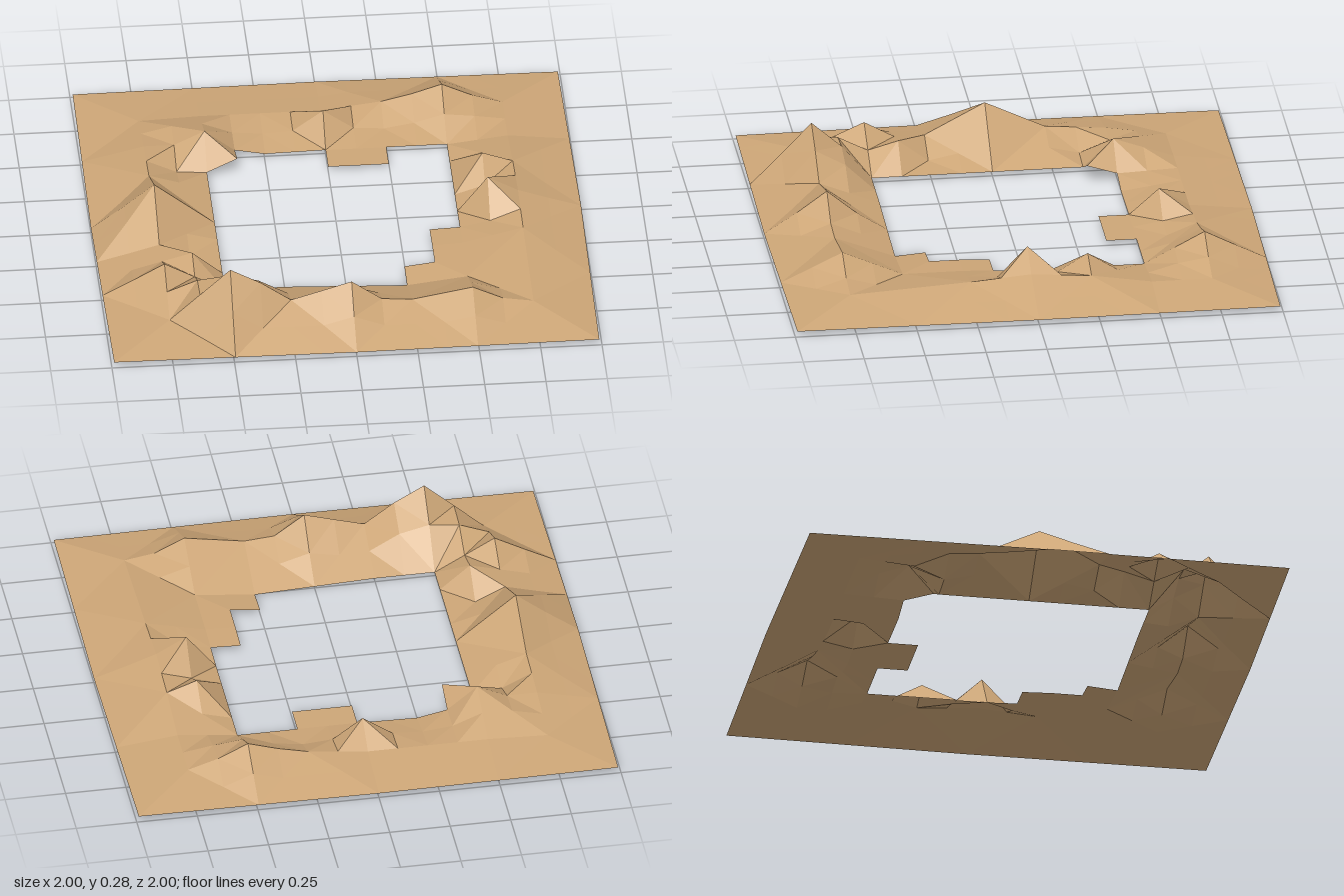
import * as THREE from 'three';

// Main ridge heights in hundredths: rows run back to front, columns left to right on x
const ROWS = [
  [2, 2, 2, 2, 2, 2, 2, 2, 2],
  [2, 4, 5, 5, 5, 8, 15, 5, 2],
  [2, 8, 14, 1.5, 2, 2, 2, 5, 2],
  [2, 10, 2, 2, 2, 2, 2, 9, 2],
  [2, 22, 2, 2, 2, 2, 2, 11, 2],
  [2, 9, 2, 2, 2, 2, 3, 9, 2],
  [2, 16, 2, 2, 1, 0, 3, 7.5, 2],
  [2, 5, 28, 12, 10, 9.5, 14, 6, 2],
  [2, 2, 2, 2, 2, 2, 2, 2, 2],
];

// Small crags and notches between the main ridge points: x, z, height in hundredths
const CRAGS = [
  [0, -0.625, 13], [-0.125, -0.625, 4], [0.125, -0.625, 4],
  [0.375, -0.75, 11], [0.25, -0.625, 3], [0.375, -0.625, 5], [0.625, -0.75, 9],
  [0.625, -0.625, 7],
  [-0.375, -0.5, 4], [-0.625, -0.5, 8], [-0.5, -0.375, 2], [-0.625, -0.375, 3],
  [-0.375, -0.625, 4.5],
  [0.625, -0.25, 13.5], [0.625, -0.125, 6], [0.625, 0, 18], [0.625, 0.125, 5], [0.75, 0.125, 10],
  [-0.625, 0.25, 3], [-0.75, 0.375, 9], [-0.625, 0.375, 12.5],
  [-0.625, 0.5, 9], [-0.625, 0.625, 15.5], [-0.5, 0.625, 17], [-0.375, 0.625, 14],
  [-0.375, 0.75, 21],
  [0, 0.75, 19.5], [-0.125, 0.75, 15.7], [0.125, 0.75, 10.5], [0, 0.625, 9], [0, 0.875, 10.5],
  [0.625, 0.75, 8],
];

// Ground cells that jut into the central opening: column,row
const LEDGES = new Set(['4,4', '8,4', '9,4', '11,9', '11,10', '11,11', '10,11']);
const N = 16;

// Which way the diagonal fold of each large cell runs; one slope of the left peak is reversed
const REVERSED = '0,4';
const fallsRight = (I, J) => (I + J) % 2 === 0 && `${I},${J}` !== REVERSED;

function heightAt(i, j) {
  const x = i / 8 - 1, z = j / 8 - 1;
  const crag = CRAGS.find(c => c[0] === x && c[1] === z);
  if (crag) return crag[2] / 100;
  const I = i >> 1, J = j >> 1, a = i % 2, b = j % 2;
  const up = a && b && !fallsRight(I, J);
  const first = up ? ROWS[J + 1][I] : ROWS[J][I];
  const second = up ? ROWS[J][I + 1] : ROWS[J + b][I + a];
  return (first + second) / 200;
}

export function createModel() {
  const positions = [], index = [];

  // Grid of ground points, with the outer edges bowed slightly outwards
  for (let j = 0; j <= N; j++) {
    for (let i = 0; i <= N; i++) {
      const x = i / 8 - 1, z = j / 8 - 1;
      const bow = (across, along) =>
        across * (Math.abs(across) === 1 ? 0.99 + 0.01 * (1 - Math.abs(along)) : 0.99);
      positions.push(bow(x, z), heightAt(i, j), bow(z, x));
    }
  }

  // Two triangles per cell, leaving out the central opening
  const inHole = k => k >= 4 && k <= 11;
  for (let j = 0; j < N; j++) {
    for (let i = 0; i < N; i++) {
      if (inHole(i) && inHole(j) && !LEDGES.has(`${i},${j}`)) continue;
      const a = j * (N + 1) + i, b = a + 1, c = a + N + 1, d = c + 1;
      if (fallsRight(i >> 1, j >> 1)) index.push(a, c, d, a, d, b);
      else index.push(a, c, b, b, c, d);
    }
  }

  const indexed = new THREE.BufferGeometry();
  indexed.setAttribute('position', new THREE.Float32BufferAttribute(positions, 3));
  indexed.setIndex(index);
  const geometry = indexed.toNonIndexed();
  geometry.computeVertexNormals();

  const ground = new THREE.Mesh(geometry, new THREE.MeshStandardMaterial({
    color: 0xcda677, flatShading: true, side: THREE.DoubleSide,
  }));
  ground.name = 'mountainRing';

  const group = new THREE.Group();
  group.name = 'terrain';
  group.add(ground);
  return group;
}
